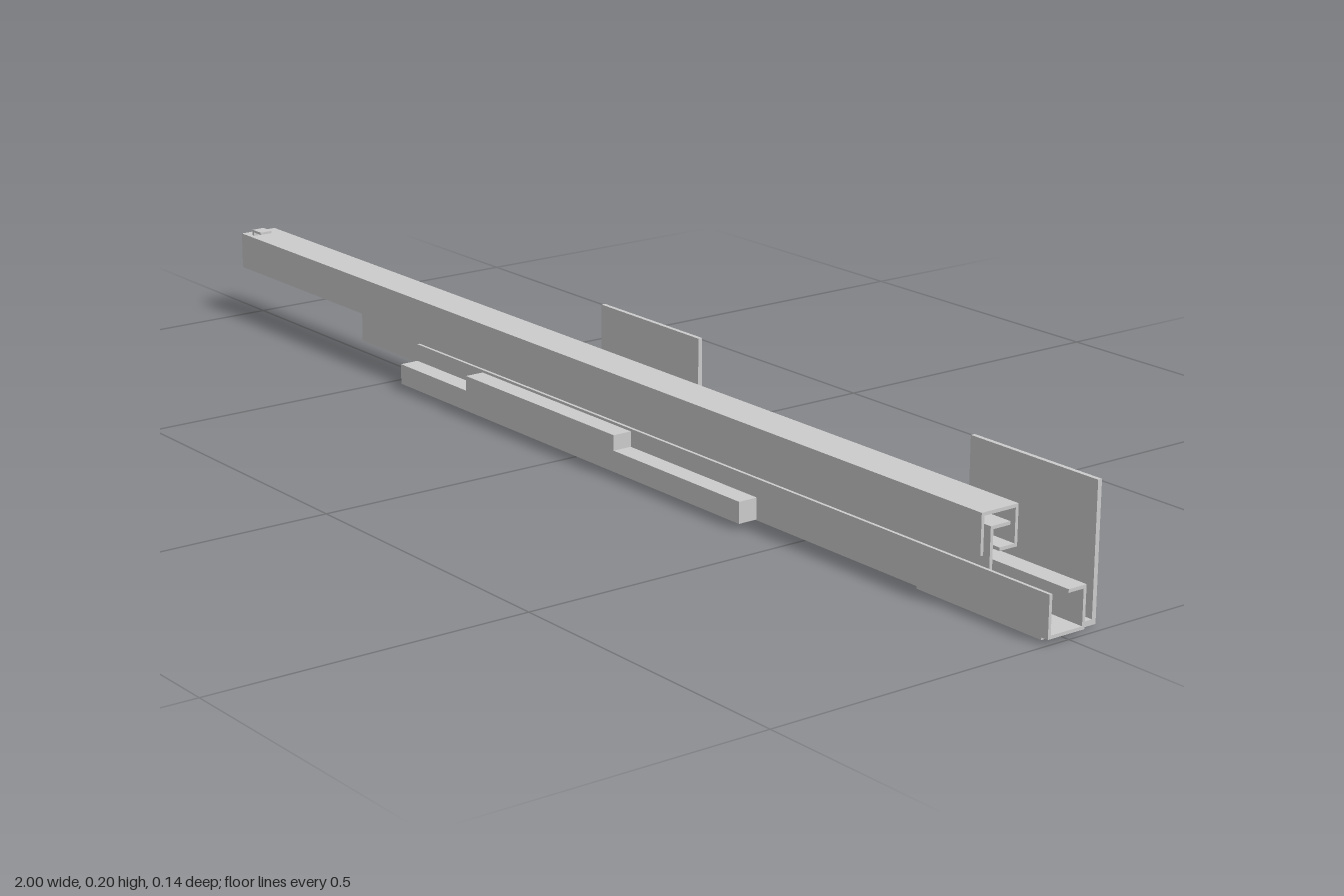
import * as THREE from 'three';

const grey = new THREE.MeshStandardMaterial({ color: 0xcccccc });

// Extrude a [z, y] outline along x from x0 to x1
function profile(name, points, x0, x1) {
  const shape = new THREE.Shape(points.map(([z, y]) => new THREE.Vector2(-z, y)));
  const geometry = new THREE.ExtrudeGeometry(shape, { depth: x1 - x0, bevelEnabled: false });
  geometry.rotateY(Math.PI / 2).translate(x0, 0, 0);
  const mesh = new THREE.Mesh(geometry, grey);
  mesh.name = name;
  return mesh;
}

// Extrude an [x, y] outline along z from z0 to z1
function plate(name, points, z0, z1) {
  const shape = new THREE.Shape(points.map(([x, y]) => new THREE.Vector2(x, y)));
  const geometry = new THREE.ExtrudeGeometry(shape, { depth: z1 - z0, bevelEnabled: false });
  geometry.translate(0, 0, z0);
  const mesh = new THREE.Mesh(geometry, grey);
  mesh.name = name;
  return mesh;
}

export function createModel() {
  const model = new THREE.Group();
  model.name = 'telescopicSlide';

  // Outer channel: front wall, bridge, back wall and a lip turned inwards
  const t = 0.005, front = 0.038, back = -0.028, lip = 0.004;
  const channel = (base, open, dir) => [
    [front, open], [front, base], [back, base], [back, open], [lip, open],
    [lip, open - dir * t], [back + t, open - dir * t], [back + t, base + dir * t],
    [front - t, base + dir * t], [front - t, open],
  ];
  model.add(profile('upperRail', channel(0.145, 0.085, -1), -1, 0.87));
  model.add(profile('lowerRail', channel(0.008, 0.07, 1), -0.455, 1));

  // C-shaped rail running inside both channels
  model.add(profile('middleRail', [
    [0.021, 0.03], [-0.014, 0.03], [-0.014, 0.035], [0.016, 0.035],
    [0.016, 0.118], [-0.014, 0.118], [-0.014, 0.123], [0.021, 0.123],
  ], -0.645, 0.87));

  // L-shaped mounting brackets
  for (const x of [-0.09, 0.74]) {
    model.add(profile('mountingBracket', [
      [0.03, 0], [-0.068, 0], [-0.068, 0.2], [-0.061, 0.2], [-0.061, 0.008], [0.03, 0.008],
    ], x, x + 0.24));
  }

  // Stepped block on the front of the lower rail
  model.add(plate('steppedBlock', [
    [-0.455, 0.009], [0.41, 0.009], [0.41, 0.042], [0.115, 0.042],
    [0.115, 0.066], [-0.27, 0.066], [-0.27, 0.042], [-0.455, 0.042],
  ], front, 0.07));

  // Small raised hook at the end of the upper rail
  model.add(plate('stopHook', [
    [-0.977, 0.144], [-0.972, 0.144], [-0.972, 0.151], [-0.95, 0.151],
    [-0.95, 0.155], [-0.977, 0.155],
  ], 0.008, 0.03));

  return model;
}
